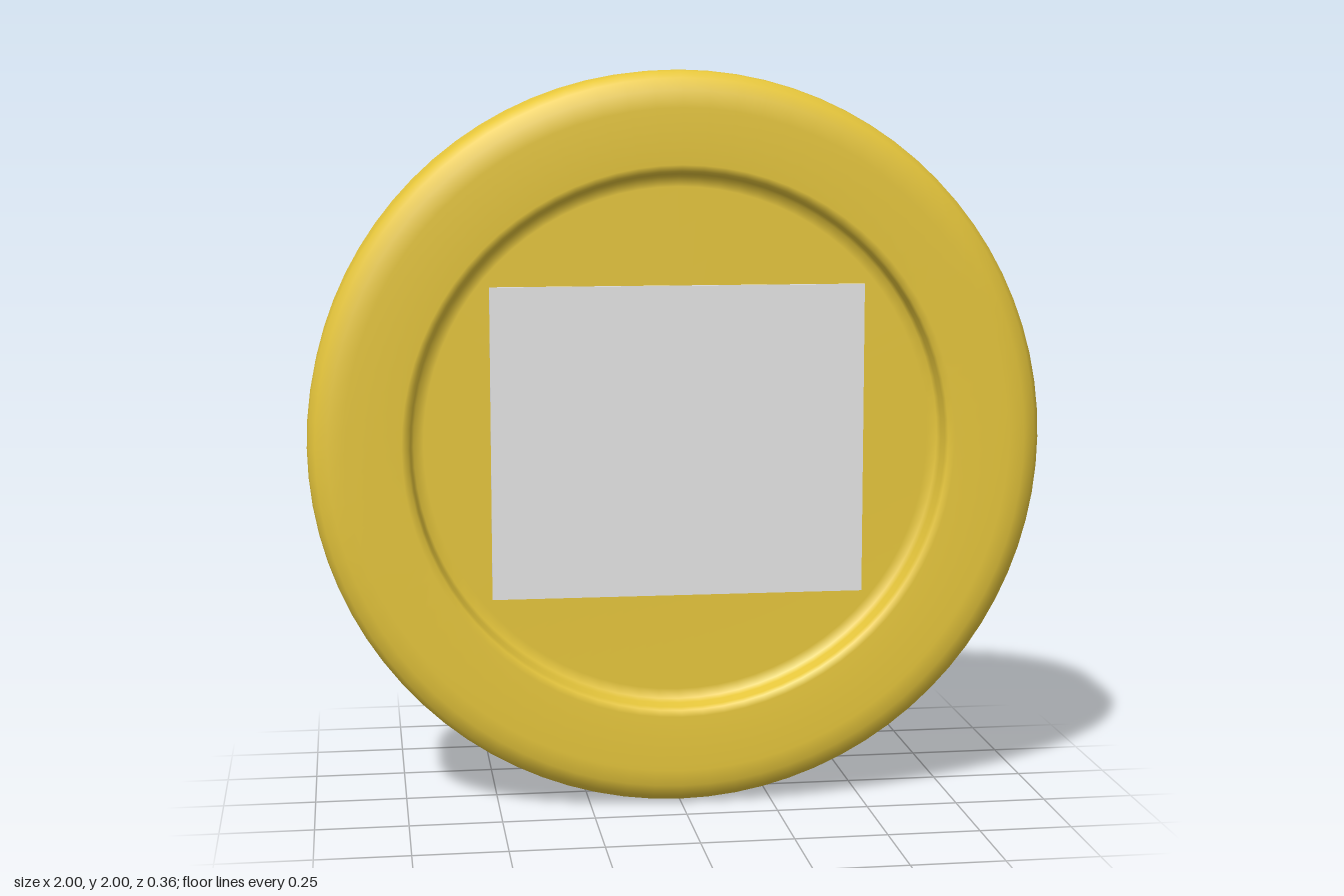
import * as THREE from 'three';

export function createModel() {
  const gold = new THREE.MeshStandardMaterial({ color: 0xe7c73c });
  gold.name = 'gold';
  const silver = new THREE.MeshStandardMaterial({ color: 0xe7e7e7 });
  silver.name = 'silver';

  const model = new THREE.Group();
  model.name = 'coin';

  // Coin body: recessed floor, raised rim with rounded corners, same on both faces
  const half = [
    [0, 0.09], [0.69, 0.09], [0.717, 0.095], [0.724, 0.115], [0.727, 0.15],
    [0.733, 0.164], [0.75, 0.171], [0.9, 0.172], [0.945, 0.166],
    [0.978, 0.15], [0.995, 0.122], [1, 0.09],
  ];
  const profile = [
    ...half.map(([r, h]) => new THREE.Vector2(r, -h)),
    ...half.slice().reverse().map(([r, h]) => new THREE.Vector2(r, h)),
  ];
  const body = new THREE.Mesh(new THREE.LatheGeometry(profile, 80), gold);
  body.name = 'coinBody';
  body.rotation.x = Math.PI / 2;
  model.add(body);

  // Thin rectangular plate lying in each recess
  for (const [name, side] of [['frontPlate', 1], ['backPlate', -1]]) {
    const plate = new THREE.Mesh(new THREE.BoxGeometry(1.02, 0.85, 0.009), silver);
    plate.name = name;
    plate.position.z = side * 0.0945;
    model.add(plate);
  }

  // Stands on its edge, turned very slightly
  model.position.y = 1;
  model.rotation.y = -0.0105;
  const root = new THREE.Group();
  root.name = 'standingCoin';
  root.add(model);
  return root;
}
